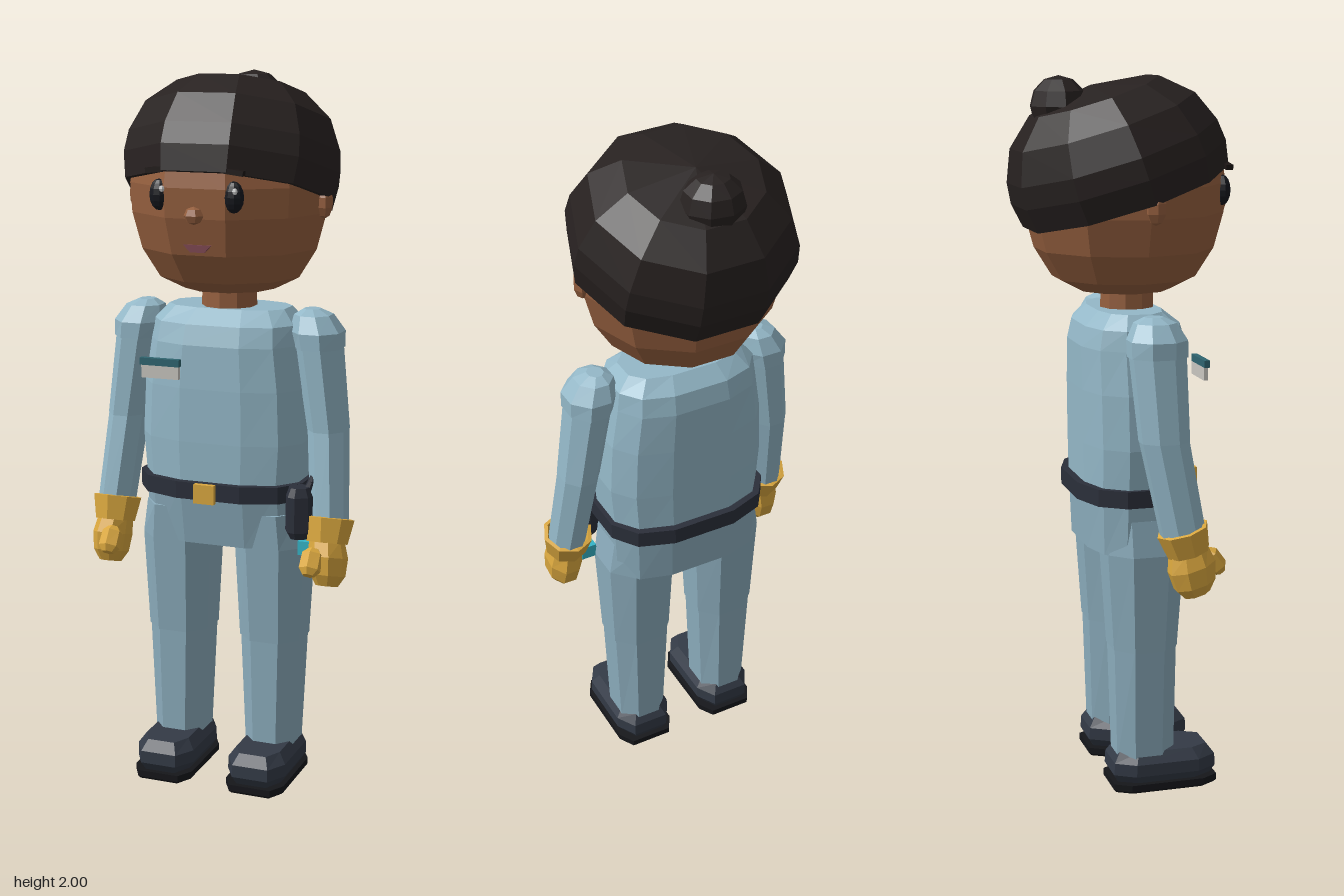
import * as THREE from 'three';

const mat = (color) => new THREE.MeshStandardMaterial({ color, flatShading: true, side: THREE.DoubleSide });
const M = {
  skin: mat(0x96603f), hair: mat(0x272120), shirt: mat(0x94b8c8), pants: mat(0x8cadbd),
  glove: mat(0xdba83f), dark: mat(0x2b2f3a), sole: mat(0x15161a), shoe: mat(0x333a46),
  eye: mat(0x15171d), white: mat(0xe8e8e8), mouth: mat(0x7d4650), teal: mat(0x2f6570),
  plate: mat(0xc9c6c0), cyan: mat(0x35b5c8), brow: mat(0x1c1514),
};

// Closed skin over rings listed from bottom to top: [cx, y, cz, rx, rz]
function loft(rings, n = 8, power = 1) {
  const pos = [], idx = [];
  const bend = (v) => Math.sign(v) * (Math.abs(v) / Math.cos(Math.PI / n)) ** power;
  for (const [cx, y, cz, rx, rz] of rings) {
    for (let j = 0; j < n; j++) {
      const a = ((j + 0.5) / n) * Math.PI * 2;
      pos.push(cx + rx * bend(Math.cos(a)), y, cz + rz * bend(Math.sin(a)));
    }
  }
  for (let i = 0; i < rings.length - 1; i++) {
    for (let j = 0; j < n; j++) {
      const a = i * n + j, b = i * n + ((j + 1) % n);
      idx.push(a, a + n, b, b, a + n, b + n);
    }
  }
  const top = (rings.length - 1) * n;
  for (let j = 1; j < n - 1; j++) idx.push(0, j, j + 1, top, top + j + 1, top + j);
  const g = new THREE.BufferGeometry();
  g.setAttribute('position', new THREE.Float32BufferAttribute(pos, 3));
  g.setIndex(idx);
  g.computeVertexNormals();
  return g;
}

function add(parent, name, geometry, material, x = 0, y = 0, z = 0) {
  const mesh = new THREE.Mesh(geometry, material);
  mesh.name = name;
  mesh.position.set(x, y, z);
  parent.add(mesh);
  return mesh;
}

const box = (w, h, d) => new THREE.BoxGeometry(w, h, d);
const ball = (rx, ry, rz, w = 8, h = 6) => new THREE.SphereGeometry(1, w, h).scale(rx, ry, rz);
// Turned shape with a corner on each side, so the face is a flat panel
const turned = (points, n) =>
  new THREE.LatheGeometry(points.map(([r, y]) => new THREE.Vector2(r, y)), n).rotateY(Math.PI / 2);

function buildHead(root) {
  const head = new THREE.Group();
  head.name = 'head';
  root.add(head);
  add(head, 'skull', turned([[0, 1.415], [0.13, 1.415], [0.2, 1.45], [0.25, 1.53], [0.277, 1.63],
    [0.282, 1.71], [0.265, 1.8], [0.2, 1.9], [0, 1.95]], 10), M.skin);
  add(head, 'neck', new THREE.CylinderGeometry(0.075, 0.078, 0.12, 10), M.skin, 0, 1.385, 0.01);

  // Hair cap tipped back, with a bun
  const hair = add(head, 'hairCap', turned([[0.27, 0], [0.297, 0], [0.309, 0.07], [0.302, 0.13],
    [0.265, 0.217], [0.185, 0.288], [0, 0.318]], 10), M.hair, 0, 1.67, 0.005);
  hair.rotation.x = -0.31;
  add(head, 'bun', ball(0.088, 0.082, 0.08, 9, 6), M.hair, 0, 1.917, -0.182);

  // Face
  add(head, 'nose', ball(0.028, 0.024, 0.024, 6, 4), M.skin, 0, 1.64, 0.272);
  const smile = new THREE.Shape();
  smile.moveTo(-0.04, 0.01);
  smile.lineTo(0.04, 0.01);
  smile.lineTo(0.02, -0.01);
  smile.lineTo(-0.02, -0.01);
  add(head, 'mouth', new THREE.ExtrudeGeometry(smile, { depth: 0.012, bevelEnabled: false }),
    M.mouth, 0, 1.55, 0.238);
  for (const s of [-1, 1]) {
    add(head, 'eye', ball(0.029, 0.042, 0.022, 10, 8), M.eye, s * 0.105, 1.69, 0.252);
    add(head, 'eyeGlint', ball(0.008, 0.009, 0.007, 6, 4), M.white, s * 0.103 + 0.012, 1.707, 0.27);
    const brow = add(head, 'eyebrow', box(0.065, 0.014, 0.02), M.brow, s * 0.105, 1.757, 0.262);
    brow.rotation.z = -s * 0.12;
    add(head, 'ear', ball(0.025, 0.045, 0.03, 6, 5), M.skin, s * 0.274, 1.66, 0.012);
  }
}

function buildBody(root) {
  add(root, 'torso', loft([[0, 0.85, 0.012, 0.225, 0.15], [0, 1.0, 0.012, 0.237, 0.152],
    [0, 1.15, 0.01, 0.23, 0.152], [0, 1.27, 0.007, 0.212, 0.149], [0, 1.325, 0.005, 0.205, 0.135],
    [0, 1.365, 0, 0.17, 0.09]], 12, 0.72), M.shirt);
  add(root, 'hips', loft([[0, 0.7, 0, 0.225, 0.13], [0, 0.87, 0.01, 0.23, 0.147]], 12, 0.7), M.pants);
  add(root, 'belt', loft([[0, 0.842, 0.012, 0.242, 0.171], [0, 0.89, 0.012, 0.242, 0.171]], 12, 0.72), M.dark);
  add(root, 'buckle', box(0.06, 0.054, 0.016), M.glove, 0, 0.867, 0.204);
  add(root, 'buckleBase', box(0.04, 0.03, 0.03), M.glove, 0, 0.867, 0.185);

  // Chest badge
  add(root, 'badgePlate', box(0.11, 0.036, 0.012), M.plate, -0.137, 1.196, 0.182);
  add(root, 'badgeStrip', box(0.116, 0.02, 0.016), M.teal, -0.137, 1.224, 0.184);

  // Belt radio with aerial, and a small pouch tag below
  const radio = new THREE.Group();
  radio.name = 'radio';
  radio.position.set(0.245, 0.815, 0.115);
  radio.rotation.y = 0.5;
  root.add(radio);
  add(radio, 'radioBody', loft([[0, -0.07, 0, 0.025, 0.025], [0, -0.05, 0, 0.035, 0.034],
    [0, 0.05, 0, 0.035, 0.034], [0, 0.075, 0, 0.025, 0.025]], 8, 0.7), M.dark);
  const aerial = add(radio, 'aerial', new THREE.CylinderGeometry(0.01, 0.012, 0.07, 6), M.dark, 0.025, 0.07, 0);
  aerial.rotation.z = -0.45;
  add(radio, 'aerialTip', ball(0.018, 0.016, 0.016, 6, 4), M.dark, 0.042, 0.09, 0);
  add(root, 'tag', box(0.045, 0.04, 0.05), M.cyan, 0.262, 0.712, 0.085);
}

function buildArm(root, s) {
  const arm = new THREE.Group();
  arm.name = s > 0 ? 'leftArm' : 'rightArm';
  root.add(arm);
  add(arm, 'forearm', loft([[s * 0.323, 0.77, 0.08, 0.048, 0.06], [s * 0.3, 1.04, 0.03, 0.052, 0.065]]), M.shirt);
  add(arm, 'upperArm', loft([[s * 0.3, 1.04, 0.03, 0.053, 0.066], [s * 0.268, 1.27, 0.02, 0.06, 0.074]]), M.shirt);
  add(arm, 'shoulder', loft([[s * 0.268, 1.265, 0.02, 0.064, 0.078], [s * 0.262, 1.31, 0.02, 0.07, 0.078],
    [s * 0.25, 1.355, 0.018, 0.05, 0.055], [s * 0.245, 1.37, 0.016, 0.022, 0.025]]), M.shirt);

  // Glove follows the bend of the forearm
  const glove = new THREE.Group();
  glove.name = 'glove';
  glove.position.set(s * 0.32, 0.767, 0.085);
  glove.rotation.set(-0.28, 0, 0);
  arm.add(glove);
  add(glove, 'cuff', turned([[0.045, -0.036], [0.06, -0.036], [0.073, 0.032], [0.062, 0.034], [0.05, -0.02]], 8), M.glove);
  add(glove, 'hand', loft([[s * 0.008, -0.155, -0.012, 0.028, 0.036], [s * 0.008, -0.125, -0.01, 0.045, 0.056],
    [s * 0.006, -0.075, -0.005, 0.05, 0.064], [0, -0.03, 0, 0.045, 0.052]]), M.glove);
  const thumb = add(glove, 'thumb', loft([[0, -0.042, 0, 0.015, 0.014], [0, -0.025, 0, 0.027, 0.025],
    [0, 0.02, 0, 0.026, 0.025], [0, 0.035, 0, 0.014, 0.014]], 6), M.glove, s * -0.02, -0.09, 0.062);
  thumb.rotation.x = -0.35;
}

function buildLeg(root, s) {
  const leg = new THREE.Group();
  leg.name = s > 0 ? 'leftLeg' : 'rightLeg';
  leg.position.x = s * 0.14;
  root.add(leg);
  add(leg, 'thigh', loft([[0, 0.42, 0.014, 0.09, 0.092], [0, 0.7, 0.014, 0.103, 0.11],
    [0, 0.8, 0.015, 0.088, 0.115]], 8, 0.85), M.pants);
  add(leg, 'shin', loft([[0, 0.09, 0.017, 0.072, 0.083], [0, 0.43, 0.014, 0.087, 0.09]], 8, 0.85), M.pants);

  // Shoe on a flat sole
  add(leg, 'sole', loft([[0, 0, 0.07, 0.08, 0.145], [0, 0.008, 0.07, 0.087, 0.152],
    [0, 0.026, 0.07, 0.087, 0.152]], 8, 0.4), M.sole);
  add(leg, 'shoe', loft([[0, 0.024, 0.07, 0.07, 0.135], [0, 0.05, 0.07, 0.086, 0.15],
    [0, 0.085, 0.07, 0.086, 0.148], [0, 0.115, 0.068, 0.065, 0.128]], 8, 0.55), M.shoe);
}

export function createModel() {
  const root = new THREE.Group();
  root.name = 'officer';
  buildHead(root);
  buildBody(root);
  for (const s of [-1, 1]) {
    buildArm(root, s);
    buildLeg(root, s);
  }
  return root;
}
